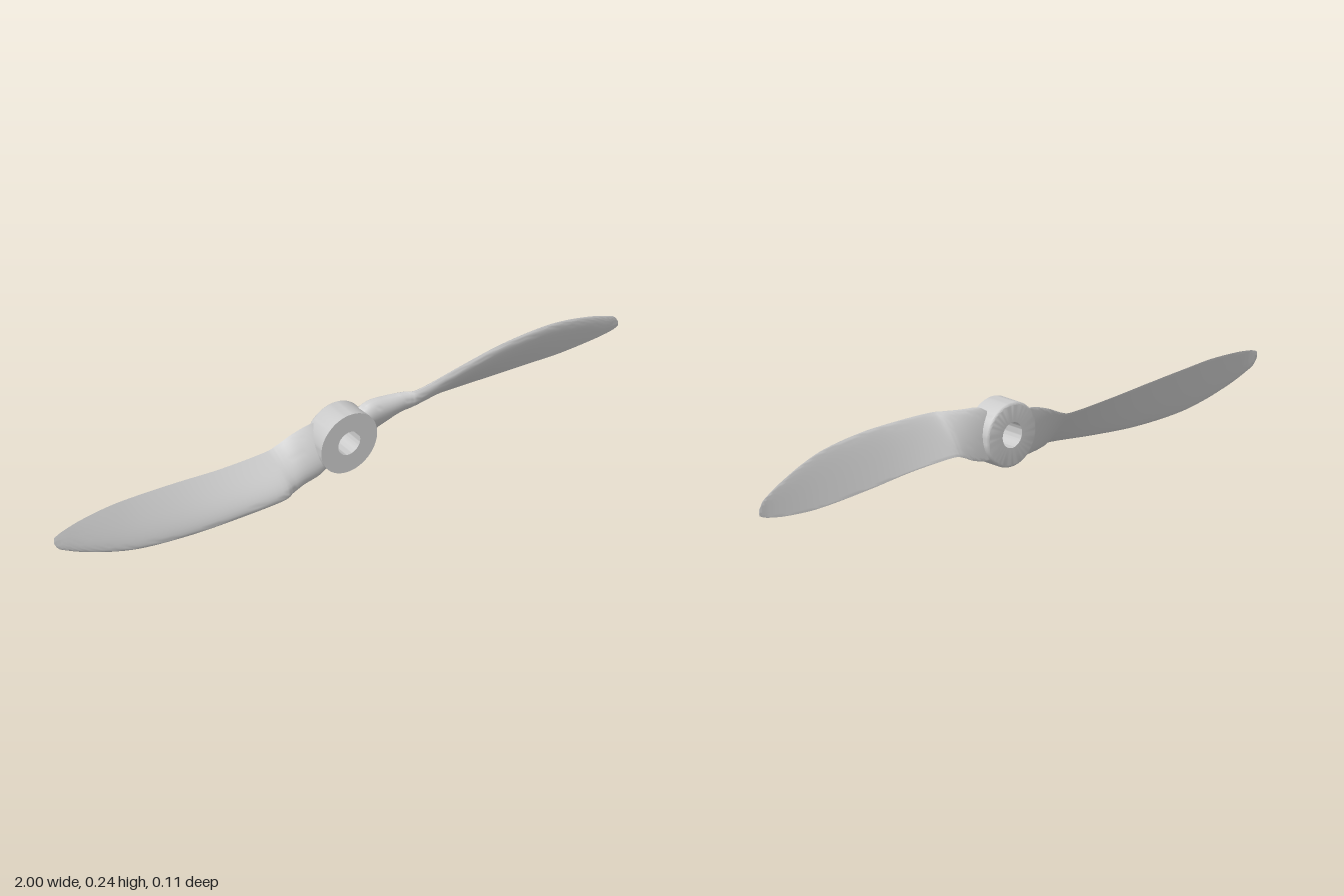
import * as THREE from 'three';
import { toCreasedNormals } from 'three/addons/utils/BufferGeometryUtils.js';

const CENTRE_Y = 0.12;

// Blade stations: x, leading edge y and z, trailing edge y and z, thickness
const STATIONS = [
  [0.05, 0.19, -0.01, 0.065, -0.04, 0.048],
  [0.09, 0.214, -0.004, 0.058, -0.041, 0.05],
  [0.15, 0.218, 0.01, 0.075, -0.048, 0.048],
  [0.2, 0.22, 0.029, 0.098, -0.054, 0.042],
  [0.245, 0.221, 0.045, 0.106, -0.054, 0.036],
  [0.4, 0.233, 0.029, 0.1, -0.051, 0.029],
  [0.55, 0.239, 0.012, 0.088, -0.053, 0.023],
  [0.7, 0.231, -0.003, 0.078, -0.053, 0.018],
  [0.8, 0.212, -0.014, 0.074, -0.05, 0.014],
  [0.9, 0.18, -0.025, 0.079, -0.045, 0.01],
  [0.96, 0.154, -0.031, 0.087, -0.04, 0.007],
  [0.985, 0.14, -0.034, 0.093, -0.038, 0.005],
  [1.0, 0.118, -0.036, 0.1, -0.037, 0.003],
];

// Smooth interpolation of every station column
function stationAt(u) {
  const n = STATIONS.length - 1;
  const i = Math.min(Math.floor(u), n - 1), t = u - i;
  const p = k => STATIONS[Math.max(0, Math.min(n, k))];
  const [a, b, c, d] = [p(i - 1), p(i), p(i + 1), p(i + 2)];
  return b.map((v, k) => {
    const m0 = (c[k] - a[k]) / 2, m1 = (d[k] - v) / 2;
    const t2 = t * t, t3 = t2 * t;
    return (2 * t3 - 3 * t2 + 1) * v + (t3 - 2 * t2 + t) * m0
      + (3 * t2 - 2 * t3) * c[k] + (t3 - t2) * m1;
  });
}

// Airfoil thickness, s = 0 at the round leading edge, 1 at the trailing edge
const foil = s => 10 * (0.2969 * Math.sqrt(s) - 0.126 * s - 0.3516 * s ** 2 + 0.2843 * s ** 3 - 0.1015 * s ** 4);

function bladeGeometry() {
  const half = 18, ring = half * 2, sub = 5;
  const rings = (STATIONS.length - 1) * sub;
  const pos = [], index = [];
  for (let i = 0; i <= rings; i++) {
    const [x, ly, lz, ty, tz, thick] = stationAt(i / sub);
    const dy = ly - ty, dz = lz - tz, len = Math.hypot(dy, dz);
    for (let j = 0; j < ring; j++) {
      // trailing edge, up the domed front, round the leading edge, down the flat back
      const s = (1 + Math.cos((j / ring) * Math.PI * 2)) / 2;
      const off = foil(s) * thick * (j < half ? 0.8 : -0.2);
      pos.push(x, ly - dy * s - (dz / len) * off - CENTRE_Y, lz - dz * s + (dy / len) * off);
    }
  }
  for (let i = 0; i < rings; i++) {
    for (let j = 0; j < ring; j++) {
      const k = (j + 1) % ring;
      const a = i * ring + j, b = a + ring, c = i * ring + k, d = c + ring;
      index.push(a, b, c, b, d, c);
    }
  }
  // Root and tip caps
  const last = rings * ring;
  for (let j = 1; j < ring - 1; j++) {
    index.push(0, j, j + 1, last, last + j + 1, last + j);
  }
  const geo = new THREE.BufferGeometry();
  geo.setAttribute('position', new THREE.Float32BufferAttribute(pos, 3));
  geo.setIndex(index);
  return toCreasedNormals(geo, 0.7);
}

// Bored hub with a rounded rear rim
function hubGeometry() {
  const bore = 0.039, r = 0.099, back = -0.054, front = 0.032, round = 0.009;
  const profile = [new THREE.Vector2(bore, back)];
  for (let i = 0; i <= 5; i++) {
    const a = (i / 5) * Math.PI / 2;
    profile.push(new THREE.Vector2(r - round + round * Math.sin(a), back + round - round * Math.cos(a)));
  }
  profile.push(new THREE.Vector2(r, front), new THREE.Vector2(bore, front), new THREE.Vector2(bore, back));
  return toCreasedNormals(new THREE.LatheGeometry(profile, 64).rotateX(Math.PI / 2), 0.5);
}

export function createModel() {
  const model = new THREE.Group();
  model.name = 'propeller';
  const material = new THREE.MeshStandardMaterial({ color: 0xcccccc });

  const hub = new THREE.Mesh(hubGeometry(), material);
  hub.name = 'hub';
  hub.position.y = CENTRE_Y;
  model.add(hub);

  // Two blades, half a turn apart
  const geo = bladeGeometry();
  ['leftBlade', 'rightBlade'].forEach((name, i) => {
    const blade = new THREE.Mesh(geo, material);
    blade.name = name;
    blade.position.y = CENTRE_Y;
    blade.rotation.z = i * Math.PI;
    model.add(blade);
  });
  return model;
}
